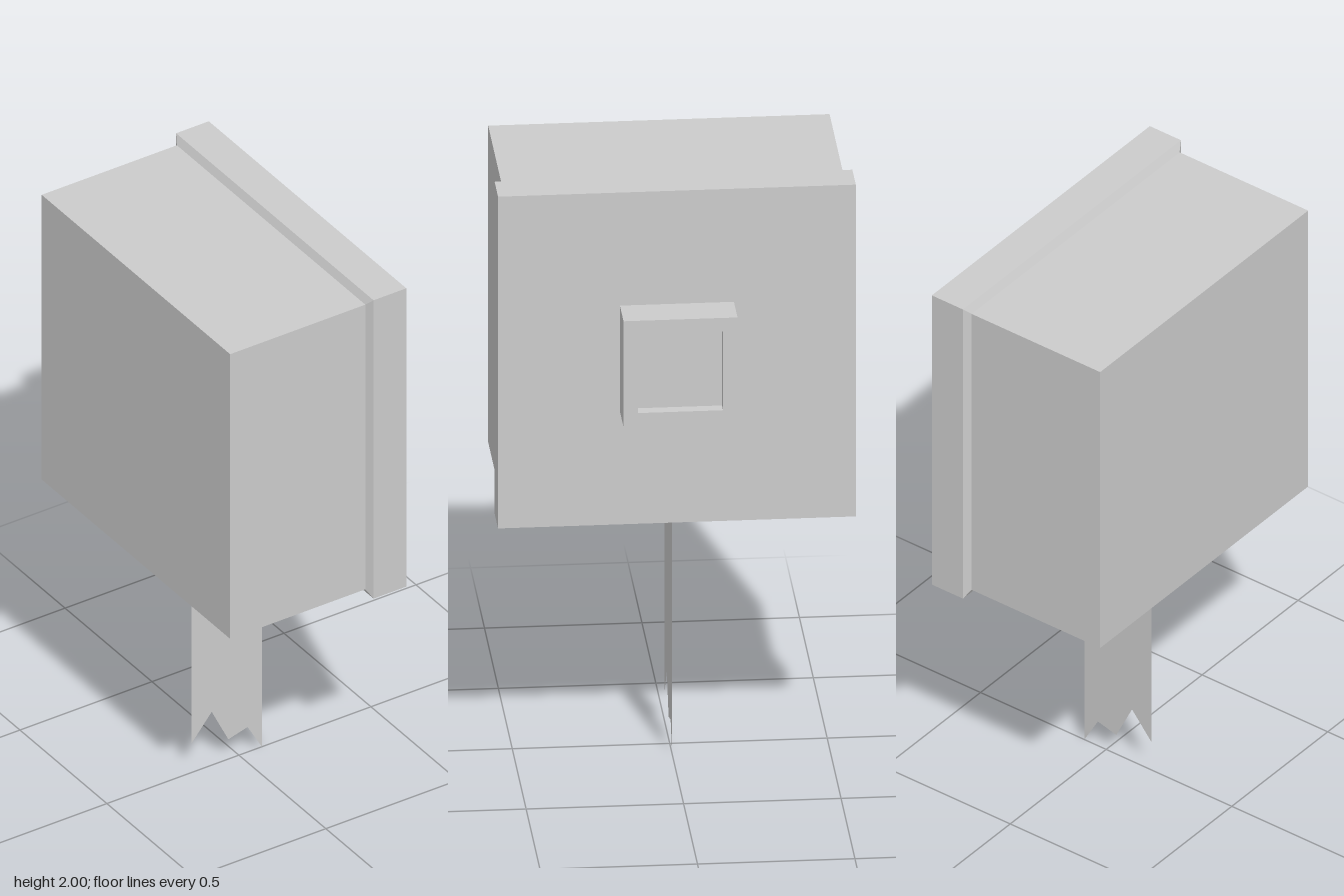
import * as THREE from 'three';

const grey = new THREE.MeshStandardMaterial({ color: 0xcccccc, flatShading: true });
const greySheet = new THREE.MeshStandardMaterial({ color: 0xcccccc, flatShading: true, side: THREE.DoubleSide });

// Square solid along +x from a profile of [half width, x] pairs
function squareLoft(name, profile, y) {
  const points = profile.map(([half, x]) => new THREE.Vector2(half * Math.SQRT2, x));
  const geometry = new THREE.LatheGeometry(points, 4, Math.PI / 4).toNonIndexed();
  geometry.rotateZ(-Math.PI / 2);
  geometry.computeVertexNormals();
  const mesh = new THREE.Mesh(geometry, grey);
  mesh.name = name;
  mesh.position.y = y;
  return mesh;
}

export function createModel() {
  const group = new THREE.Group();
  group.name = 'boxOnStrap';
  const centreY = 1.432;

  // Box with a chamfered step up to the wider rim
  group.add(squareLoft('box', [
    [0, -0.39], [0.542, -0.39], [0.542, 0.122], [0.568, 0.136], [0.568, 0.26], [0, 0.26],
  ], centreY));

  // Square knob with a shallow recess in its face
  group.add(squareLoft('knob', [
    [0, 0.26], [0.181, 0.26], [0.181, 0.39], [0.135, 0.39], [0.135, 0.35], [0, 0.35],
  ], centreY));

  // Flat strap with a torn lower end
  const outline = [
    [-0.18, 0.89], [-0.18, 0.11], [-0.103, 0.203], [-0.04, 0.075], [0.033, 0.095], [0.087, 0], [0.087, 0.89],
  ].map(([x, y]) => new THREE.Vector2(x, y));
  const strap = new THREE.Mesh(new THREE.ShapeGeometry(new THREE.Shape(outline)), greySheet);
  strap.name = 'tornStrap';
  group.add(strap);

  return group;
}
